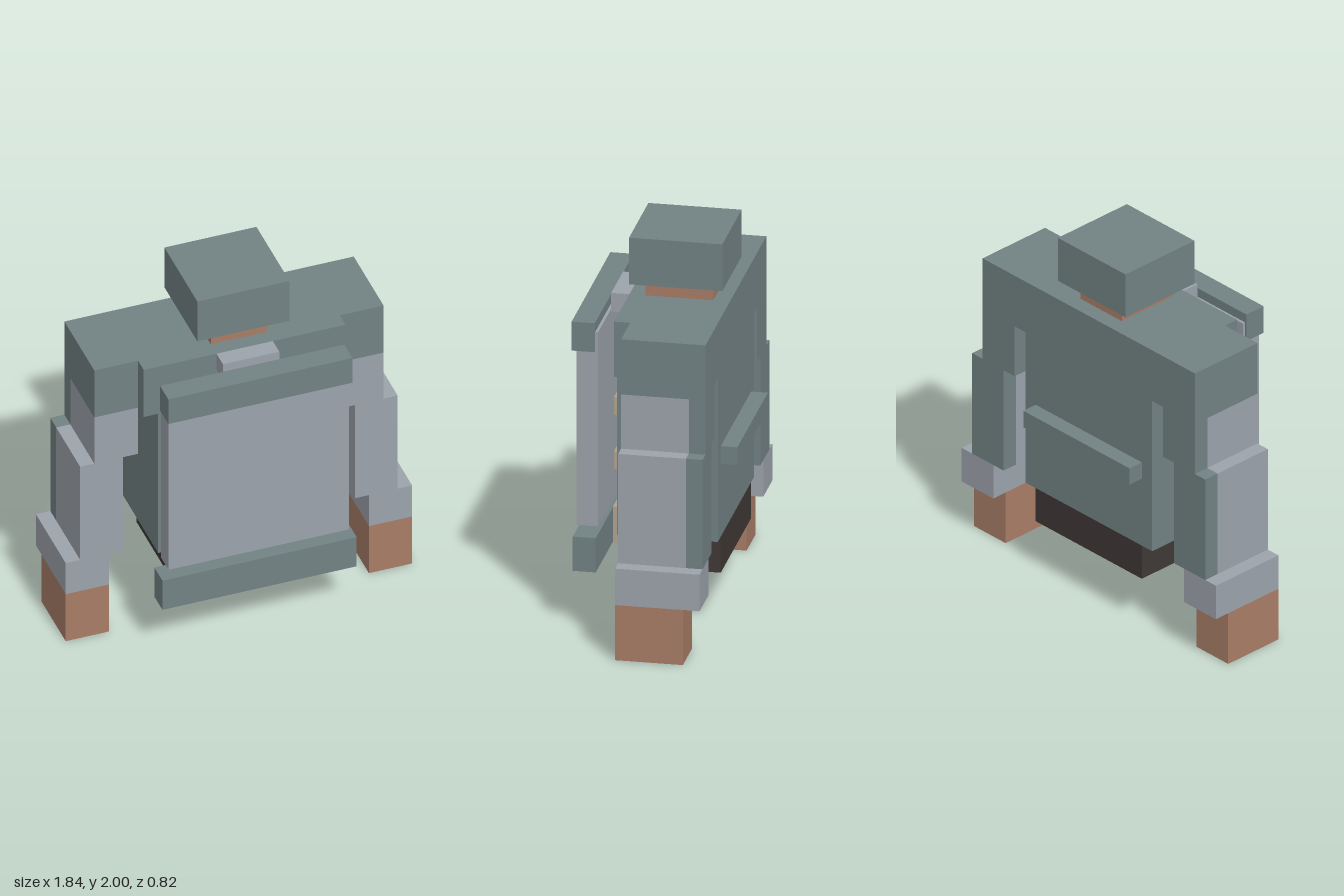
import * as THREE from 'three';

const flat = (name, color) => {
  const m = new THREE.MeshStandardMaterial({ color });
  m.name = name;
  return m;
};

export function createModel() {
  const teal = flat('slate teal', 0x728283);
  const grey = flat('light grey', 0x9ca3ab);
  const skin = flat('skin brown', 0xa87d66);
  const tan = flat('tan', 0xb1a38d);
  const dark = flat('dark brown', 0x3f3836);

  const model = new THREE.Group();
  model.name = 'blockFigure';

  // Box given by its extents on each axis
  const box = (parent, name, mat, [x0, x1], [y0, y1], [z0, z1]) => {
    const mesh = new THREE.Mesh(new THREE.BoxGeometry(x1 - x0, y1 - y0, z1 - z0), mat);
    mesh.position.set((x0 + x1) / 2, (y0 + y1) / 2, (z0 + z1) / 2);
    mesh.name = name;
    parent.add(mesh);
  };
  const wide = (name, mat, half, y, z) => box(model, name, mat, [-half, half], y, z);

  // Head, neck and body
  wide('head', teal, 0.245, [1.75, 2], [-0.305, 0.17]);
  wide('neck', skin, 0.15, [1.66, 1.75], [-0.24, 0.105]);
  wide('upperTorso', teal, 0.537, [1.365, 1.66], [-0.325, 0.187]);
  wide('lowerTorso', teal, 0.46, [0.49, 1.365], [-0.325, 0.187]);
  wide('pelvis', dark, 0.385, [0.297, 0.49], [-0.325, 0.187]);
  wide('backBar', teal, 0.385, [0.88, 0.975], [-0.41, -0.325]);

  // Front plate with its bars
  wide('chestPlate', grey, 0.48, [0.535, 1.575], [0.28, 0.39]);
  wide('topBar', teal, 0.49, [1.47, 1.625], [0.295, 0.413]);
  wide('bottomBar', teal, 0.517, [0.302, 0.485], [0.285, 0.402]);

  // Spacers between torso and plate
  wide('collarTab', grey, 0.15, [1.56, 1.66], [0.187, 0.28]);
  for (const [y0, y1] of [[1.27, 1.365], [0.98, 1.075], [0.69, 0.785], [0.297, 0.49]]) {
    wide('spacer', tan, 0.08, [y0, y1], [0.187, y0 < 0.5 ? 0.285 : 0.28]);
  }

  // Stepped arms: grey in front, teal along the back
  const front = [-0.24, 0.105], back = [-0.325, -0.24], full = [-0.325, 0.105];
  for (const side of [1, -1]) {
    const arm = new THREE.Group();
    arm.name = side > 0 ? 'leftArm' : 'rightArm';
    const part = (name, mat, [a, b], y, z) =>
      box(arm, name, mat, side > 0 ? [a, b] : [-b, -a], y, z);
    const upper = [0.537, 0.77], lower = [0.617, 0.845], end = [0.692, 0.922];
    part('shoulder', teal, upper, [1.365, 1.66], full);
    part('upperArm', grey, upper, [1.075, 1.365], front);
    part('upperArmBack', teal, upper, [1.075, 1.365], back);
    part('forearm', grey, lower, [0.49, 1.075], front);
    part('forearmBack', teal, lower, [0.49, 1.075], back);
    part('cuff', grey, end, [0.295, 0.49], full);
    part('hand', skin, end, [0, 0.295], front);
    model.add(arm);
  }
  return model;
}
